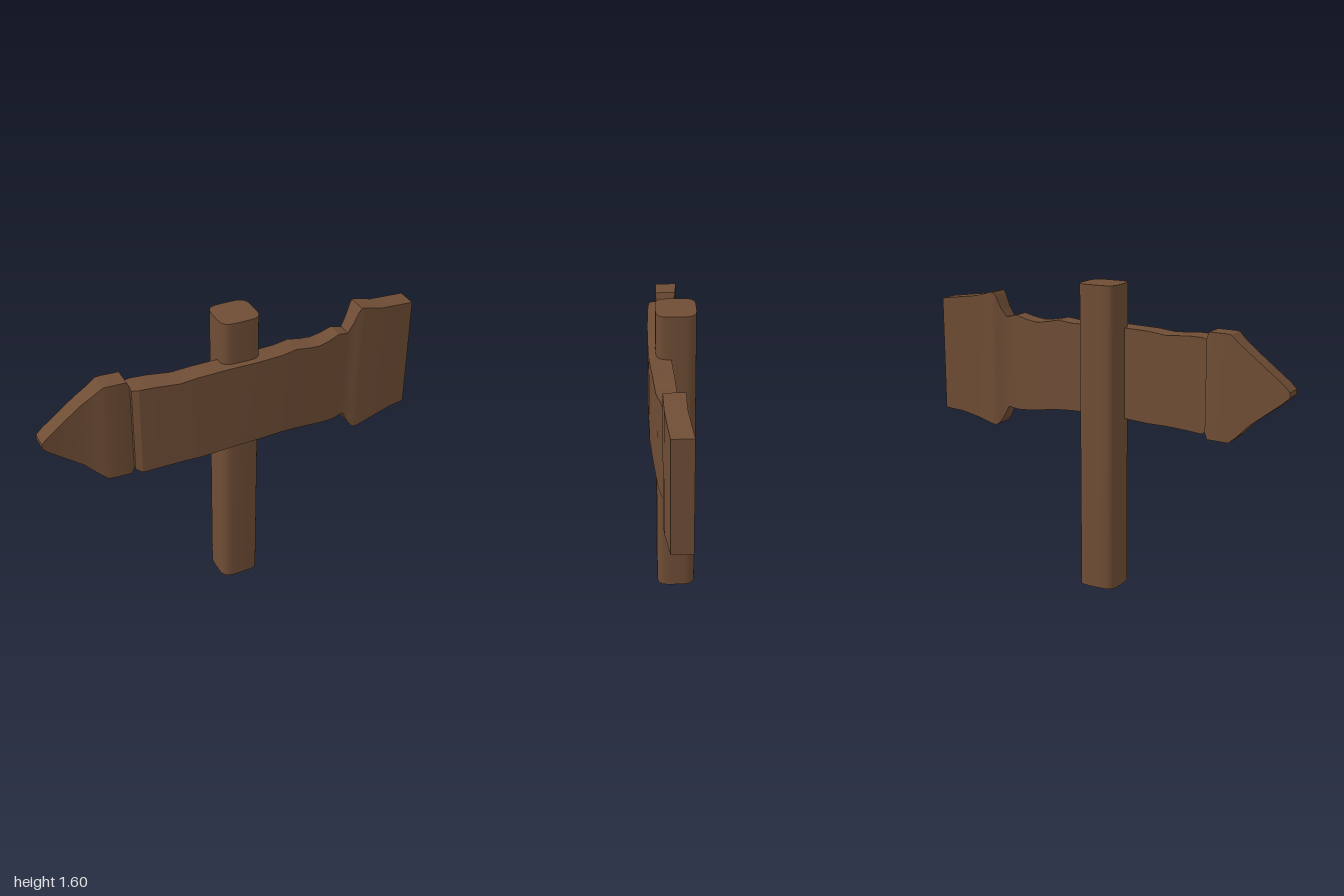
import * as THREE from 'three';
import { toCreasedNormals } from 'three/addons/utils/BufferGeometryUtils.js';

const wood = new THREE.MeshStandardMaterial({ color: 0x6f4d35 });
wood.name = 'brown wood';

// Plank swept along x; each station is [x, yBottom, yTop, zBack, zFront]
function plank(name, stations) {
  const pos = [], idx = [];
  for (const [x, b, t, k, f] of stations) {
    pos.push(x, b, f, x, t, f, x, t, k, x, b, k);
  }
  const last = (stations.length - 1) * 4;
  for (let i = 0; i < last; i += 4) {
    for (let j = 0; j < 4; j++) {
      const a = i + j, b = i + (j + 1) % 4;
      idx.push(a, a + 4, b + 4, a, b + 4, b);
    }
  }
  idx.push(0, 1, 2, 0, 2, 3, last, last + 2, last + 1, last, last + 3, last + 2);
  const geo = new THREE.BufferGeometry();
  geo.setAttribute('position', new THREE.Float32BufferAttribute(pos, 3));
  geo.setIndex(idx);
  const mesh = new THREE.Mesh(toCreasedNormals(geo, 0.5), wood);
  mesh.name = name;
  return mesh;
}

// Rounded-square post with a hollowed foot
function post() {
  const geo = new THREE.CylinderGeometry(1, 1, 1.6, 48, 1);
  const p = geo.attributes.position;
  const round = v => Math.sign(v) * Math.pow(Math.abs(v), 0.48);
  for (let i = 0; i < p.count; i++) {
    const x = p.getX(i), z = p.getZ(i), y = p.getY(i) + 0.8;
    const foot = Math.hypot(x, z) < 0.5 && y < 0.1;
    p.setXYZ(i, 0.025 + 0.105 * round(x), foot ? 0.08 : y, -0.02 + 0.1 * round(z));
  }
  const mesh = new THREE.Mesh(toCreasedNormals(geo, 0.6), wood);
  mesh.name = 'post';
  return mesh;
}

export function createModel() {
  const group = new THREE.Group();
  group.name = 'signpost';
  group.add(post());

  // Pointed end of the sign
  group.add(plank('arrowHead', [
    [-1, 1.135, 1.16, -0.06, 0.03],
    [-0.97, 1.105, 1.19, -0.06, 0.03],
    [-0.8, 0.975, 1.32, -0.06, 0.03],
    [-0.73, 0.905, 1.37, -0.055, 0.042],
    [-0.69, 0.872, 1.405, -0.052, 0.053],
    [-0.67, 0.87, 1.408, -0.052, 0.055],
    [-0.57, 0.87, 1.408, -0.045, 0.06],
    [-0.553, 0.9, 1.37, -0.035, 0.055],
  ]));

  // Warped board with a flared tail
  group.add(plank('board', [
    [-0.555, 0.9, 1.365, -0.027, 0.075],
    [-0.525, 0.888, 1.372, -0.024, 0.097],
    [-0.45, 0.893, 1.372, -0.017, 0.104],
    [-0.32, 0.897, 1.36, -0.005, 0.11],
    [-0.22, 0.895, 1.37, 0.002, 0.113],
    [-0.05, 0.905, 1.375, 0.008, 0.116],
    [0.1, 0.908, 1.372, 0.006, 0.115],
    [0.23, 0.908, 1.372, 0.001, 0.108],
    [0.31, 0.903, 1.382, -0.002, 0.103],
    [0.38, 0.895, 1.367, -0.005, 0.097],
    [0.44, 0.887, 1.36, -0.007, 0.092],
    [0.5, 0.88, 1.37, -0.008, 0.086],
    [0.56, 0.877, 1.388, -0.01, 0.076],
    [0.62, 0.885, 1.373, -0.01, 0.062],
    [0.65, 0.82, 1.42, -0.022, 0.064],
    [0.675, 0.787, 1.48, -0.03, 0.068],
    [0.69, 0.78, 1.502, -0.035, 0.07],
    [0.71, 0.782, 1.5, -0.035, 0.069],
    [0.8, 0.81, 1.475, -0.037, 0.067],
    [0.9, 0.835, 1.463, -0.047, 0.059],
    [1, 0.845, 1.45, -0.058, 0.048],
  ]));
  return group;
}
